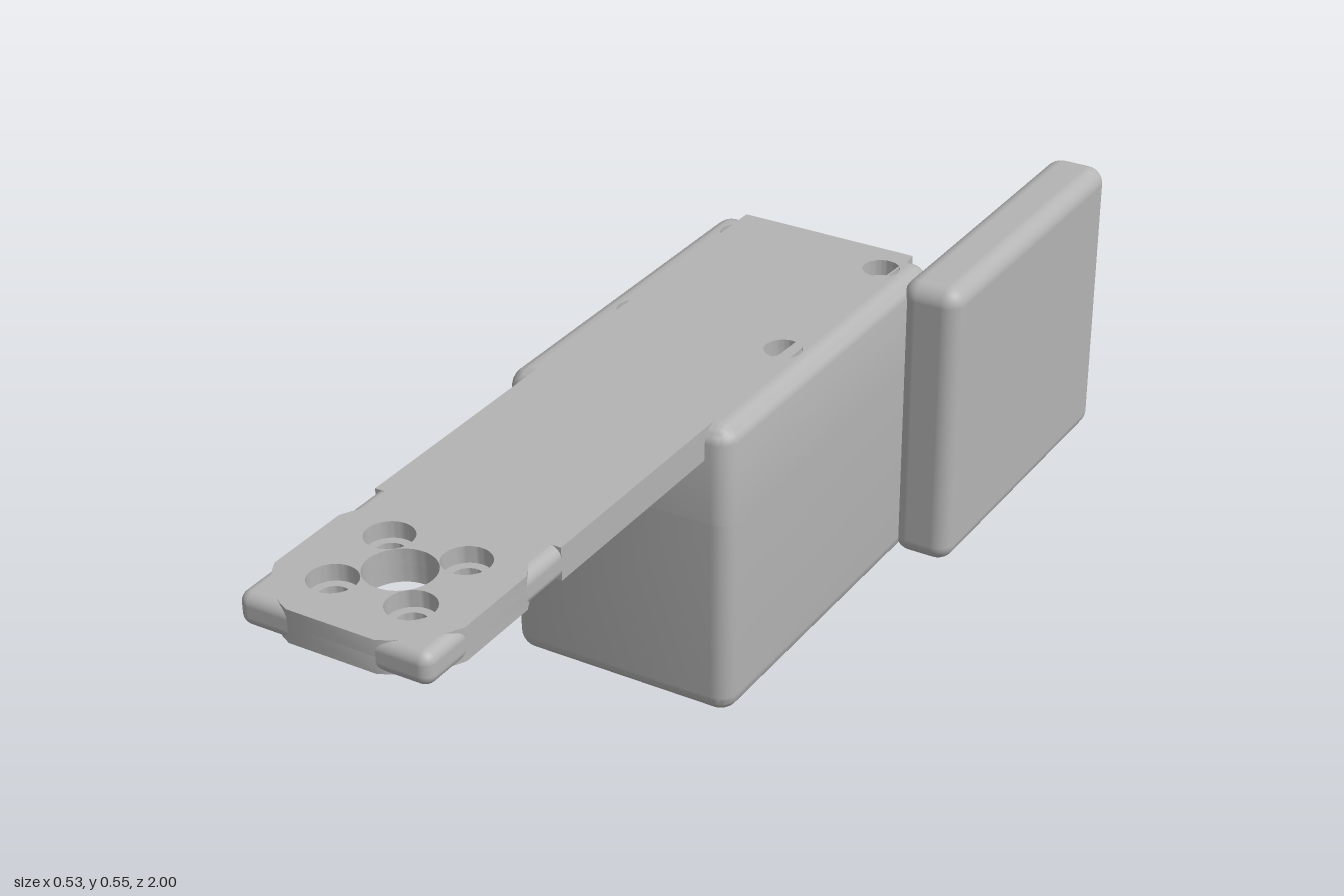
import * as THREE from 'three';
import { toCreasedNormals } from 'three/addons/utils/BufferGeometryUtils.js';
import { RoundedBoxGeometry } from 'three/addons/geometries/RoundedBoxGeometry.js';

const R = 0.035;                        // edge radius and wall thickness of the housing
const X0 = -0.265, X1 = 0.165, Z0 = -0.475, Z1 = 0.245, TOP = 0.548;
const MID = -0.05, HEAD_Z = 0.83;       // centre line, and centre of the mounting head
const SLOT = 0.09, SLOT_TOP = 0.372, ROOF = 0.49;

// Quarter-round profile points [inset, y]
function quarter(cx, cy, from, to) {
  return Array.from({ length: 9 }, (_, i) => {
    const a = from + (to - from) * i / 8;
    return [cx + R * Math.cos(a), cy + R * Math.sin(a)];
  });
}

// Rounded-rectangle path around the housing, from one slot edge to the other
function wallPath() {
  const path = [{ c: [MID - SLOT, Z0 + R], n: [0, -1] }];
  const corners = [[X0 + R, Z0 + R], [X0 + R, Z1 - R], [X1 - R, Z1 - R], [X1 - R, Z0 + R]];
  corners.forEach((c, k) => {
    for (let i = 0; i <= 8; i++) {
      const t = (k + i / 8) * Math.PI / 2;
      path.push({ c, n: [-Math.sin(t), -Math.cos(t)] });
    }
  });
  path.push({ c: [MID + SLOT, Z0 + R], n: [0, -1] });
  return path;
}

// Sweep an [inset, y] profile along the wall path
function sweep(path, profile) {
  const pos = [], index = [], m = profile.length;
  for (const { c, n } of path) {
    for (const [inset, y] of profile) {
      pos.push(c[0] + n[0] * (R - inset), y, c[1] + n[1] * (R - inset));
    }
  }
  for (let u = 0; u < path.length - 1; u++) {
    for (let v = 0; v < m - 1; v++) {
      const a = u * m + v, b = a + m;
      index.push(a, a + 1, b, a + 1, b + 1, b);
    }
  }
  const g = new THREE.BufferGeometry();
  g.setAttribute('position', new THREE.Float32BufferAttribute(pos, 3));
  g.setIndex(index);
  return toCreasedNormals(g, 0.6);
}

// Horizontal slab from an x/z outline, with round holes [x, z, r]
function slab(outline, holes, yTop, thickness) {
  const shape = new THREE.Shape(outline.map(p => new THREE.Vector2(p[0], p[1])));
  for (const [x, z, r] of holes) {
    shape.holes.push(new THREE.Path().absarc(x, z, r, 0, Math.PI * 2, true));
  }
  const g = new THREE.ExtrudeGeometry(shape, { depth: thickness, bevelEnabled: false, curveSegments: 24 });
  g.rotateX(Math.PI / 2).translate(0, yTop, 0);
  return toCreasedNormals(g, 0.6);
}

export function createModel() {
  const model = new THREE.Group();
  model.name = 'mountingBracket';
  const grey = new THREE.MeshStandardMaterial({ color: 0xb4b4b4, side: THREE.DoubleSide });
  grey.name = 'plainGrey';
  const add = (geometry, name) => {
    const mesh = new THREE.Mesh(geometry, grey);
    mesh.name = name;
    model.add(mesh);
    return mesh;
  };

  // Housing walls: lower part is open at the rear slot, upper part is closed
  const path = wallPath();
  const lower = [[0, SLOT_TOP], ...quarter(R, R, Math.PI, Math.PI * 1.5), [R, SLOT_TOP]];
  add(sweep(path, lower), 'lowerWalls');
  const upper = [...quarter(R, TOP - R, Math.PI / 2, Math.PI), [0, SLOT_TOP], [R, SLOT_TOP], [R, ROOF]];
  add(sweep([...path, path[0]], upper), 'upperWalls');
  for (const side of [-1, 1]) {
    const cap = new THREE.ShapeGeometry(new THREE.Shape(lower.map(p => new THREE.Vector2(p[0], p[1]))));
    cap.rotateY(-Math.PI / 2).translate(MID + side * SLOT, 0, Z0);
    add(cap, 'slotEdge');
  }

  // Counterbored holes: four in the roof, four around the bore of the head
  const bolts = wide => {
    const list = [[MID, HEAD_Z, 0.058]];
    for (const sx of [-1, 1]) {
      for (const sz of [-1, 1]) {
        list.push([MID + sx * 0.145, -0.23 + sz * 0.175, wide ? 0.033 : 0.019]);
        list.push([MID + sx * 0.07, HEAD_Z + sz * 0.07, wide ? 0.04 : 0.025]);
      }
    }
    return list;
  };

  // Arm outline: full width, then inset around the head with a clipped disc
  const half = [[0.17, Z0 - 0.002], [0.17, 0.66], [0.15, 0.66], [0.15, HEAD_Z - 0.112],
    [0.161, HEAD_Z - 0.096], [0.17, HEAD_Z - 0.078], [0.17, HEAD_Z + 0.078],
    [0.161, HEAD_Z + 0.096], [0.15, HEAD_Z + 0.112], [0.15, 0.98],
    [0.112, 0.98], [0.096, 0.991], [0.078, 1]];
  const armOutline = [
    ...half.map(([x, z]) => [MID + x, z]),
    ...half.slice().reverse().map(([x, z]) => [MID - x, z]),
  ];
  const roofOutline = [[X0 + R, Z0 + R], [X1 - R, Z0 + R], [X1 - R, Z1 - R], [X0 + R, Z1 - R]];
  const layer = (TOP - ROOF) / 2;
  [true, false].forEach((wide, i) => {
    const y = TOP - i * layer;
    const holes = bolts(wide);
    add(slab(armOutline, holes, y, layer), wide ? 'armUpperLayer' : 'armLowerLayer');
    add(slab(roofOutline, holes.filter(h => h[1] < 0.2), y, layer), wide ? 'roofUpperLayer' : 'roofLowerLayer');
  });

  // Rounded rim of the mounting head
  const rim = (w, d, x, z) => add(new RoundedBoxGeometry(w, TOP - ROOF, d, 5, 0.0199), 'headRim')
    .position.set(x, (TOP + ROOF) / 2, z);
  for (const side of [-1, 1]) rim(0.04, 0.36, MID + side * 0.15, 0.82);
  rim(0.34, 0.04, MID, 0.98);

  // Rounded side panel
  add(new RoundedBoxGeometry(0.115, 0.551, 0.635, 6, 0.033), 'sidePanel')
    .position.set(0.2075, 0.2785, -0.6825);

  return model;
}
